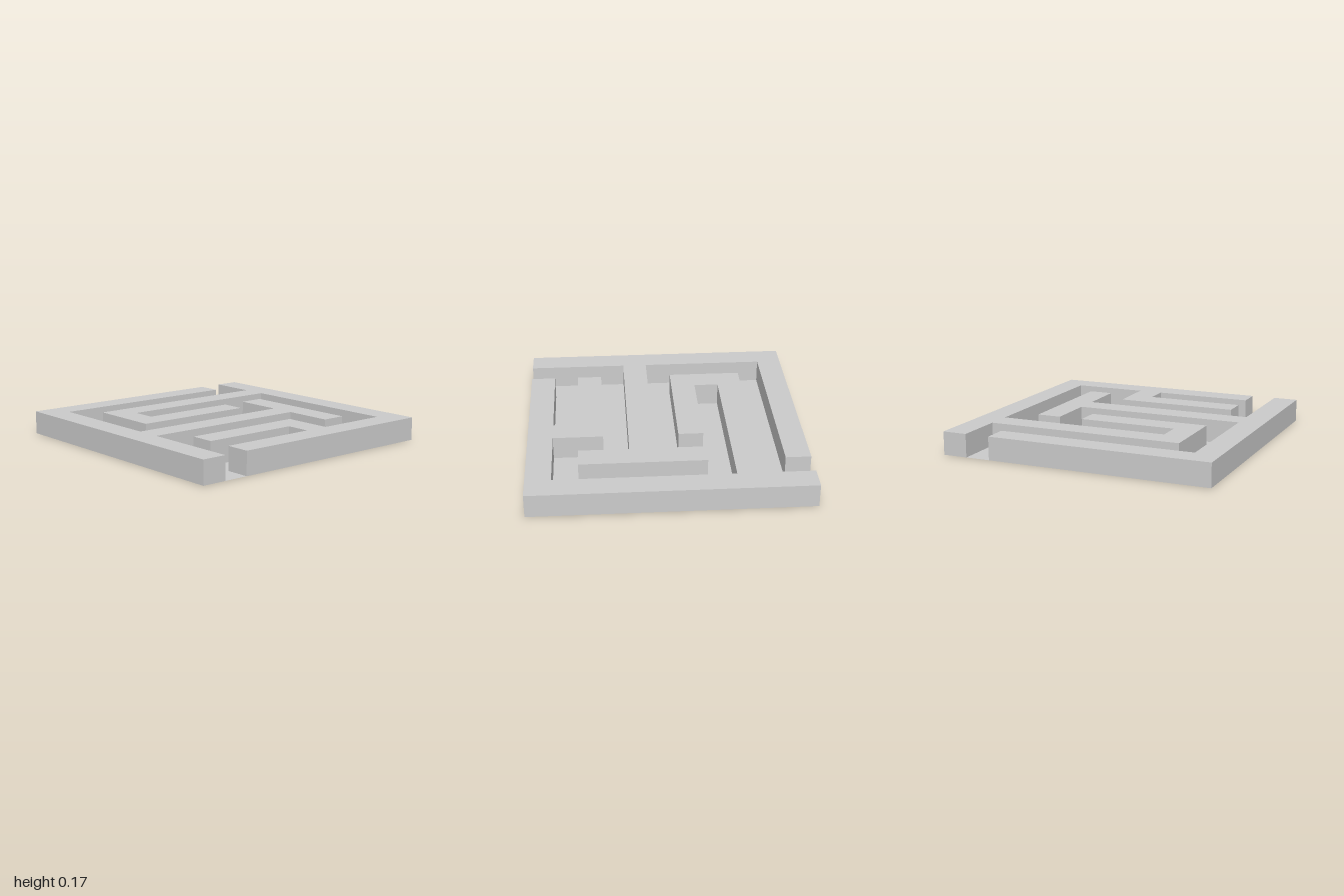
import * as THREE from 'three';

const CELLS = 11, UNIT = 2 / CELLS, HEIGHT = 0.17;

// The two sides of the corridor, west opening to east opening, in grid cells (x, z)
const northSide = [
  [0, 1], [2, 1], [2, 9], [5, 9], [5, 4], [4, 4], [4, 8], [3, 8], [3, 1],
  [10, 1], [10, 4], [8, 4], [8, 9], [9, 9], [9, 5], [10, 5], [10, 9], [11, 9],
];
const southSide = [
  [0, 2], [1, 2], [1, 10], [6, 10], [6, 3], [4, 3], [4, 2],
  [9, 2], [9, 3], [7, 3], [7, 10], [11, 10],
];

const material = new THREE.MeshStandardMaterial({ color: 0xcccccc, side: THREE.DoubleSide });

const toWorld = ([i, k]) => [i * UNIT - 1, k * UNIT - 1];

// Flat upward-facing surface inside an outline
function flat(outline, y) {
  const points = outline.map(toWorld).map(([x, z]) => new THREE.Vector2(x, -z));
  return new THREE.ShapeGeometry(new THREE.Shape(points)).rotateX(-Math.PI / 2).translate(0, y, 0);
}

// Upright faces along a counter-clockwise outline, open at top and bottom
function upright(outline) {
  const pos = [];
  outline.forEach((cell, i) => {
    const [ax, az] = toWorld(cell);
    const [bx, bz] = toWorld(outline[(i + 1) % outline.length]);
    pos.push(ax, 0, az, bx, 0, bz, bx, HEIGHT, bz);
    pos.push(ax, 0, az, bx, HEIGHT, bz, ax, HEIGHT, az);
  });
  const geometry = new THREE.BufferGeometry();
  geometry.setAttribute('position', new THREE.Float32BufferAttribute(pos, 3));
  geometry.computeVertexNormals();
  return geometry;
}

function part(name, geometry) {
  const mesh = new THREE.Mesh(geometry, material);
  mesh.name = name;
  return mesh;
}

// Hollow wall block: a top and its sides, without an underside
function wall(name, outline) {
  const group = new THREE.Group();
  group.name = name;
  group.add(part(name + 'Top', flat(outline, HEIGHT)), part(name + 'Sides', upright(outline)));
  return group;
}

export function createModel() {
  const model = new THREE.Group();
  model.name = 'maze';
  const backward = [...southSide].reverse();
  model.add(
    wall('backWall', [...northSide, [11, 0], [0, 0]]),
    wall('frontWall', [...backward, [0, 11], [11, 11]]),
    part('corridorFloor', flat([...southSide, ...[...northSide].reverse()], 0)),
  );
  return model;
}
